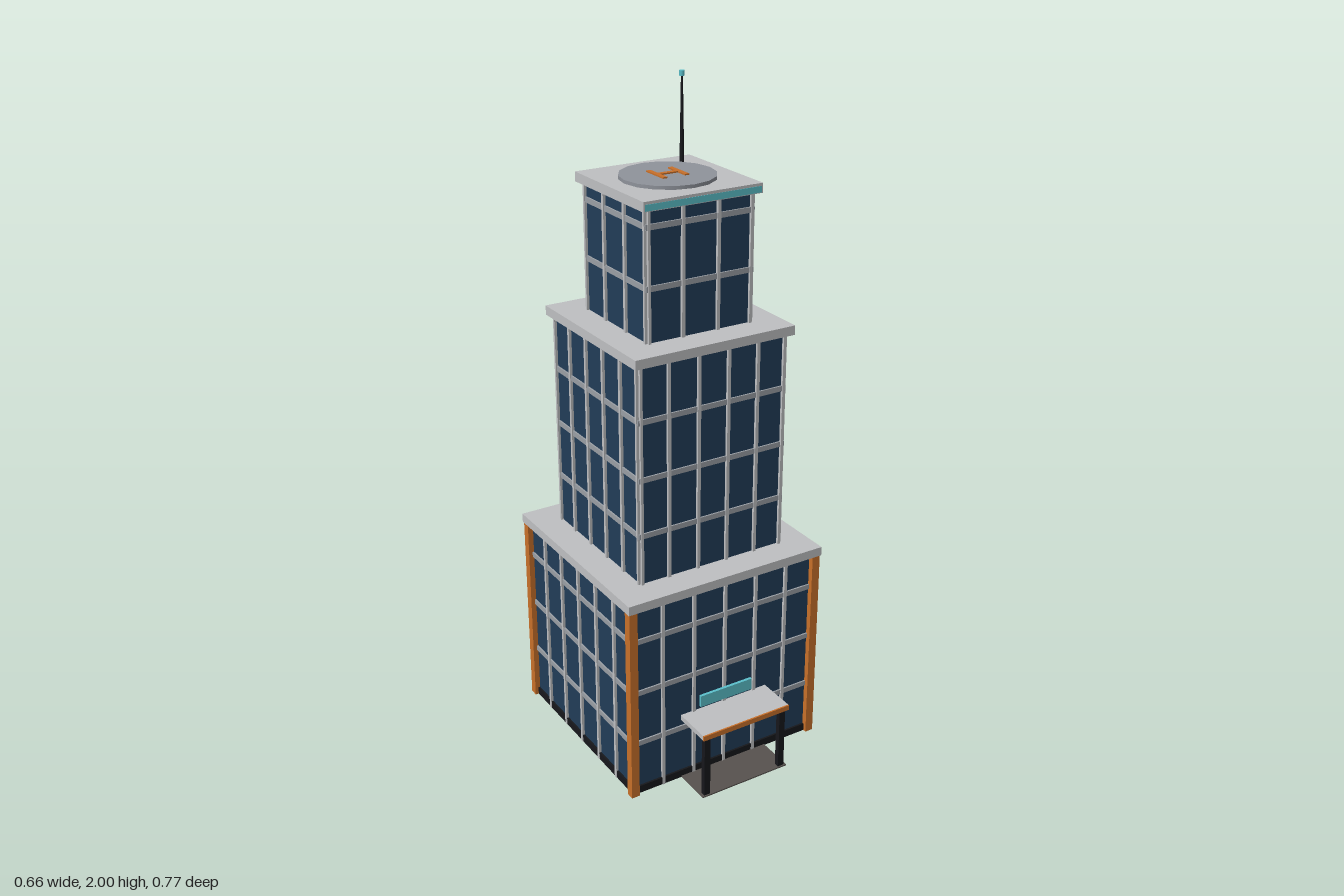
import * as THREE from 'three';

const mat = (name, color) => {
  const m = new THREE.MeshStandardMaterial({ color });
  m.name = name;
  return m;
};

export function createModel() {
  const M = {
    glass: mat('dark blue glass', 0x213c58),
    concrete: mat('light concrete', 0xbfc0c2),
    band: mat('grey floor band', 0x9a9fa5),
    orange: mat('orange trim', 0xc8702a),
    cyan: mat('cyan light', 0x5bc0cb),
    black: mat('black metal', 0x16171b),
    pad: mat('helipad grey', 0x8f939b),
    paving: mat('dark paving', 0x57524e),
  };
  const model = new THREE.Group();
  model.name = 'tower';
  const CZ = -0.055; // centre of the tower in z

  const add = (parent, name, geo, material, x, y, z) => {
    const mesh = new THREE.Mesh(geo, material);
    mesh.name = name;
    mesh.position.set(x, y, z);
    parent.add(mesh);
    return mesh;
  };
  const box = (parent, name, material, w, h, d, x, y, z) =>
    add(parent, name, new THREE.BoxGeometry(w, h, d), material, x, y, z);

  // Three stepped tiers: glass block, floor bands, mullions and roof slab
  const tiers = [
    { name: 'lowerTier', half: 0.31, y0: 0, y1: 0.625, roof: 0.33, bays: 6, pitch: 0.106, bands: [0.175, 0.347, 0.518], corners: false },
    { name: 'middleTier', half: 0.238, y0: 0.65, y1: 1.315, roof: 0.258, bays: 5, pitch: 0.097, bands: [0.805, 0.978, 1.152], corners: true },
    { name: 'upperTier', half: 0.167, y0: 1.34, y1: 1.715, roof: 0.187, bays: 3, pitch: 0.113, bands: [1.497, 1.667], corners: true },
  ];
  for (const t of tiers) {
    const g = new THREE.Group();
    g.name = t.name;
    g.position.z = CZ;
    model.add(g);
    const h = t.y1 - t.y0, w = t.half * 2, mid = (t.y0 + t.y1) / 2;
    box(g, 'glassBlock', M.glass, w, h, w, 0, mid, 0);
    box(g, 'roofSlab', M.concrete, t.roof * 2, 0.028, t.roof * 2, 0, t.y1 + 0.013, 0);
    for (const y of t.bands) box(g, 'floorBand', M.band, w + 0.01, 0.016, w + 0.01, 0, y, 0);

    // Mullions repeated on all four faces
    for (let side = 0; side < 4; side++) {
      const face = new THREE.Group();
      face.name = 'facadeMullions';
      face.rotation.y = side * Math.PI / 2;
      g.add(face);
      for (let i = 1; i < t.bays; i++) {
        box(face, 'mullion', M.concrete, 0.01, h, 0.016, (i - t.bays / 2) * t.pitch, mid, t.half);
      }
      if (t.corners) for (const s of [-1, 1]) {
        box(face, 'edgeMullion', M.concrete, 0.008, h, 0.016, s * (t.half - 0.004), mid, t.half);
      }
    }
  }

  // Dark plinth and orange corner posts
  box(model, 'plinth', M.black, 0.632, 0.024, 0.632, 0, 0.012, CZ);
  for (const sx of [-1, 1]) for (const sz of [-1, 1]) {
    box(model, 'cornerPost', M.orange, 0.026, 0.625, 0.026, sx * 0.314, 0.3125, CZ + sz * 0.314);
  }

  // Entrance canopy, posts, paving and sign
  const entrance = new THREE.Group();
  entrance.name = 'entrance';
  model.add(entrance);
  box(entrance, 'canopy', M.concrete, 0.3, 0.016, 0.122, 0, 0.212, 0.318);
  box(entrance, 'canopyFascia', M.orange, 0.3, 0.016, 0.005, 0, 0.212, 0.3815);
  box(entrance, 'paving', M.paving, 0.3, 0.004, 0.12, 0, 0.002, 0.32);
  for (const s of [-1, 1]) box(entrance, 'canopyPost', M.black, 0.02, 0.204, 0.016, s * 0.132, 0.102, 0.368);
  box(entrance, 'entranceSign', M.cyan, 0.18, 0.037, 0.009, 0, 0.254, 0.2685);

  // Lit strips on the top slab, front and back
  for (const s of [-1, 1]) {
    box(model, 'roofLight', M.cyan, 0.366, 0.018, 0.002, 0, 1.725, CZ + s * 0.187);
  }

  // Helipad with painted marking
  const helipad = new THREE.Group();
  helipad.name = 'helipad';
  helipad.position.set(0, 1.742, CZ);
  model.add(helipad);
  add(helipad, 'padDisc', new THREE.CylinderGeometry(0.137, 0.137, 0.01, 16), M.pad, 0, 0.005, 0);
  for (const s of [-1, 1]) box(helipad, 'markingBar', M.orange, 0.014, 0.004, 0.088, s * 0.035, 0.012, 0);
  box(helipad, 'markingCrossbar', M.orange, 0.056, 0.004, 0.014, 0, 0.012, 0);

  // Antenna with beacon
  add(model, 'antennaMast', new THREE.CylinderGeometry(0.003, 0.007, 0.246, 8), M.black, 0.12, 1.863, -0.175);
  add(model, 'antennaBeacon', new THREE.CylinderGeometry(0.008, 0.008, 0.015, 8), M.cyan, 0.12, 1.9925, -0.175);

  return model;
}
